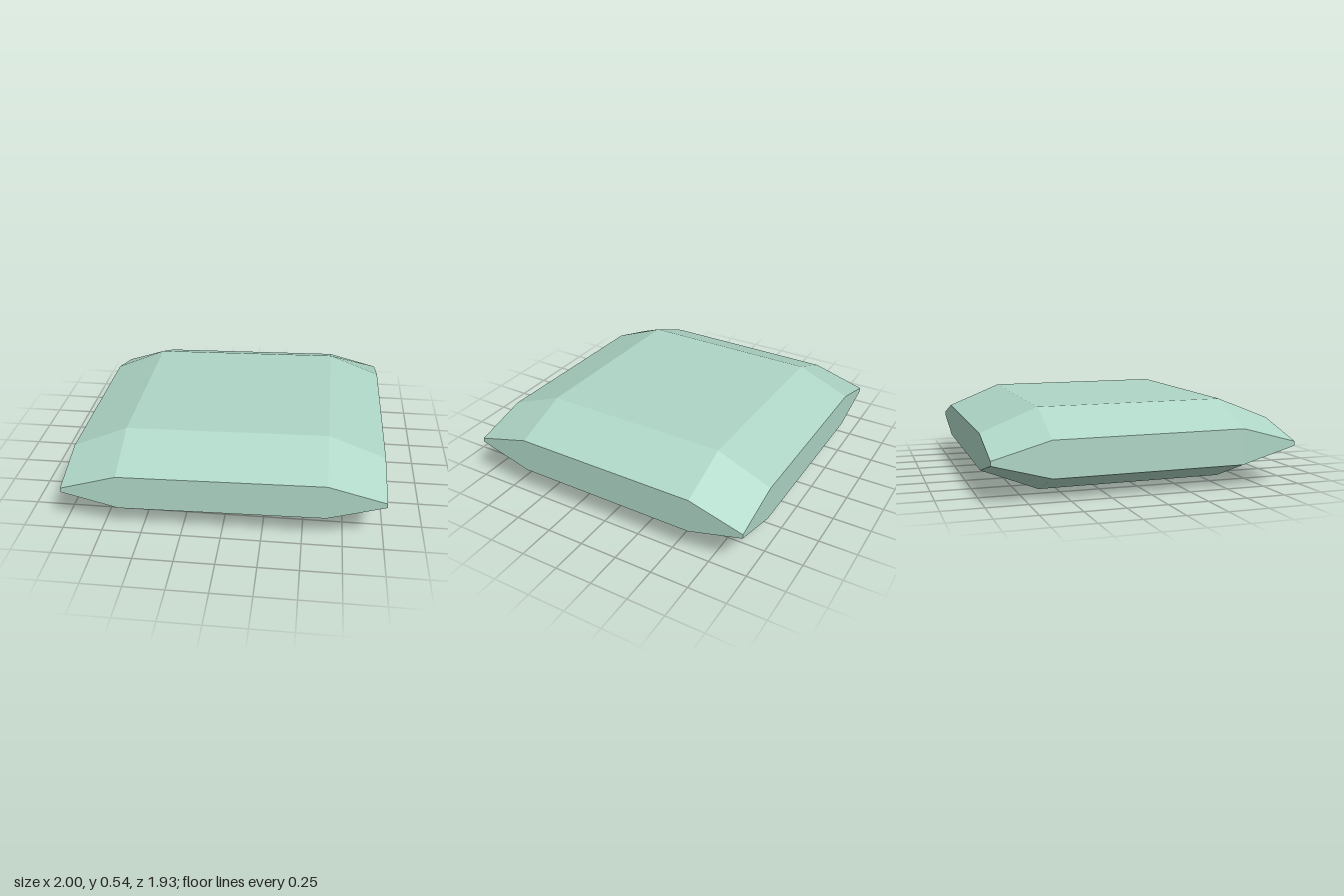
import * as THREE from 'three';

// Grid lines across the cushion and half-thickness at each ring
const XS = [-1, -0.643, 0.643, 1];
const ZS = [-0.965, -0.608, 0.608, 0.965];
const CENTRE = 0.256, EDGE = 0.113, CORNER = 0.014;

function halfThickness(i, j) {
  const rims = (i % 3 === 0) + (j % 3 === 0);
  return [CENTRE, EDGE, CORNER][rims];
}

// Faceted cushion: 3 x 3 panels above and below, joined by narrow vertical rims
function cushionGeometry() {
  const positions = [], normals = [];
  const point = (i, j, side) => new THREE.Vector3(XS[i], side * halfThickness(i, j), ZS[j]);

  // One flat-looking panel, corners counter-clockwise from outside
  function quad(a, b, c, d) {
    const n = c.clone().sub(a).cross(d.clone().sub(b)).normalize();
    for (const p of [a, b, c, a, c, d]) {
      positions.push(p.x, p.y, p.z);
      normals.push(n.x, n.y, n.z);
    }
  }

  for (let i = 0; i < 3; i++) {
    for (let j = 0; j < 3; j++) {
      for (const side of [1, -1]) {
        const ring = [[i, j], [i, j + 1], [i + 1, j + 1], [i + 1, j]]
          .map(([u, v]) => point(u, v, side));
        if (side < 0) ring.reverse();
        // start corner panels so the split runs out to the tip
        if ((i + j) === 2 && i !== 1) ring.push(ring.shift());
        quad(...ring);
      }
    }
  }

  // Rims: front, back, left and right
  const rim = (u, v) => quad(point(...u, -1), point(...v, -1), point(...v, 1), point(...u, 1));
  for (let k = 0; k < 3; k++) {
    rim([k, 3], [k + 1, 3]);
    rim([k + 1, 0], [k, 0]);
    rim([3, k + 1], [3, k]);
    rim([0, k], [0, k + 1]);
  }

  const geometry = new THREE.BufferGeometry();
  geometry.setAttribute('position', new THREE.Float32BufferAttribute(positions, 3));
  geometry.setAttribute('normal', new THREE.Float32BufferAttribute(normals, 3));
  return geometry;
}

export function createModel() {
  const group = new THREE.Group();
  const mint = new THREE.MeshStandardMaterial({ color: 0xaed6c6 });
  mint.name = 'pale mint';

  const cushion = new THREE.Mesh(cushionGeometry(), mint);
  cushion.name = 'cushion';
  // slight lean, as if resting on one lower corner
  cushion.position.y = 0.272;
  cushion.rotation.set(-0.007, 0, 0.0185);
  group.add(cushion);
  return group;
}
